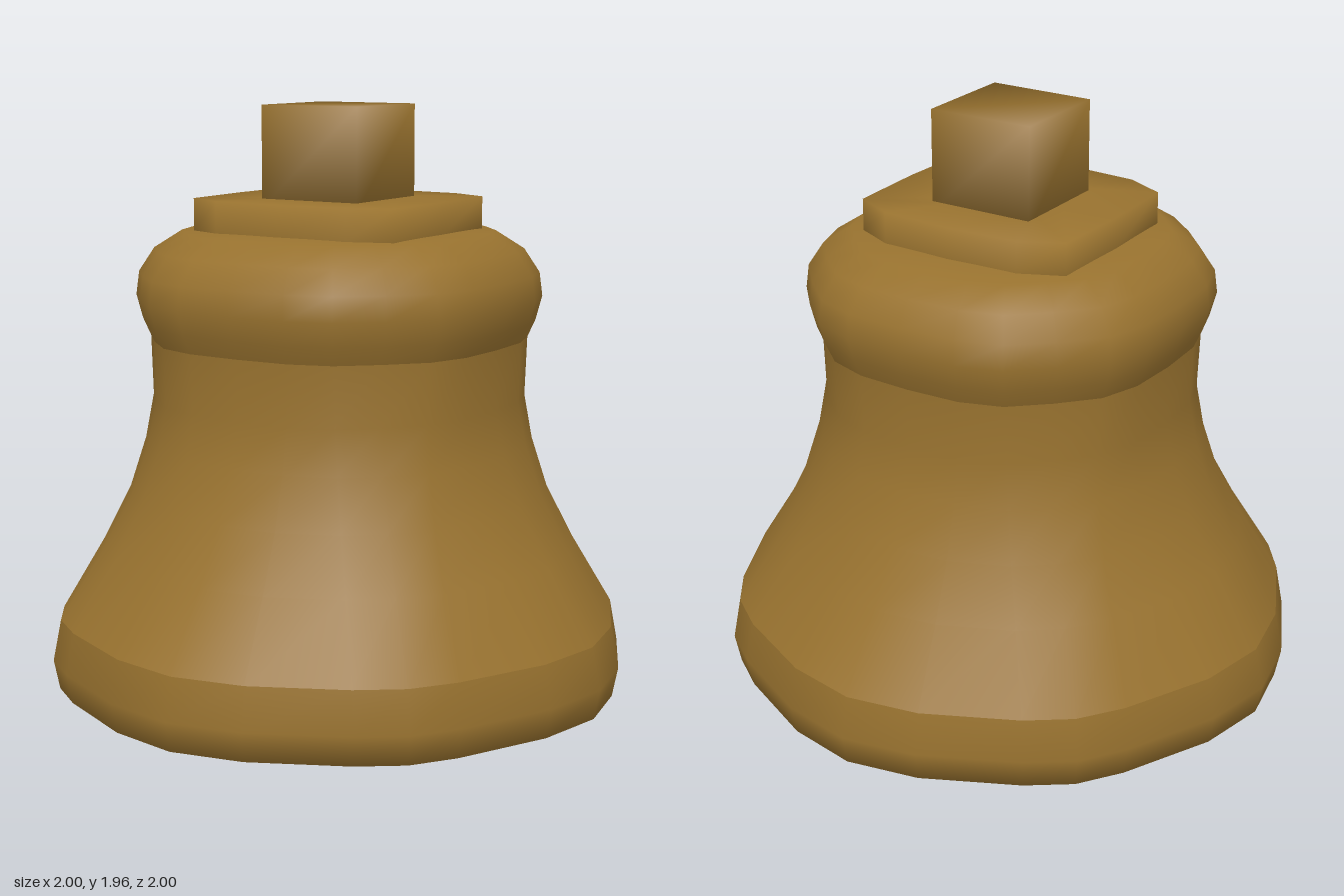
import * as THREE from 'three';
import { mergeVertices } from 'three/addons/utils/BufferGeometryUtils.js';

// One quarter of the ring outline, round at the mouth and squarer at the shoulder
const ROUND = [[1, 0], [0.95, 0.25], [0.8, 0.56], [0.7, 0.7], [0.56, 0.8], [0.25, 0.95]];
const SQUARE = [[1, 0], [0.985, 0.31], [0.91, 0.54], [0.735, 0.735], [0.54, 0.91], [0.31, 0.985]];
const CAP = [[0.4, 0], [0.39, 0.29], [0.25, 0.36]];

// Repeats a quarter outline four times by quarter turns
function fullRing(quarter) {
  const ring = [];
  for (let q = 0; q < 4; q++) {
    for (const [x, z] of quarter) {
      ring.push([[x, z], [-z, x], [-x, -z], [z, -x]][q]);
    }
  }
  return ring;
}

// Bell section at radius r and height y
function bellRing([r, y]) {
  const t = THREE.MathUtils.smoothstep(y, 0.1, 1.25);
  return fullRing(ROUND.map(([x, z], i) => [
    THREE.MathUtils.lerp(x, SQUARE[i][0], t),
    THREE.MathUtils.lerp(z, SQUARE[i][1], t),
  ])).map(([x, z]) => [x * r, y, z * r]);
}

// Skins closed rings with shared vertices, giving smooth normals
function loft(rings) {
  const n = rings[0].length;
  const index = [];
  for (let i = 0; i < rings.length - 1; i++) {
    for (let j = 0; j < n; j++) {
      const a = i * n + j, b = i * n + (j + 1) % n;
      index.push(a, a + n, b, b, a + n, b + n);
    }
  }
  const geo = new THREE.BufferGeometry();
  geo.setAttribute('position', new THREE.Float32BufferAttribute(rings.flat(2), 3));
  geo.setIndex(index);
  const merged = mergeVertices(geo);
  merged.computeVertexNormals();
  return merged;
}

export function createModel() {
  const group = new THREE.Group();
  const bronze = new THREE.MeshStandardMaterial({ color: 0x98722f });
  bronze.name = 'bronze';

  const add = (name, geometry) => {
    const mesh = new THREE.Mesh(geometry, bronze);
    mesh.name = name;
    group.add(mesh);
  };

  // Bell shell as [radius, height] profiles, split where the edges are creased
  const profiles = {
    rim: [[0.87, 0.03], [0.9, 0], [0.98, 0], [1, 0.1], [0.97, 0.24]],
    waist: [[0.97, 0.24], [0.81, 0.48], [0.705, 0.66], [0.64, 0.83], [0.605, 0.98], [0.605, 1.18]],
    shoulder: [[0.605, 1.18], [0.63, 1.24], [0.65, 1.32], [0.64, 1.4], [0.59, 1.48], [0.5, 1.54], [0.3, 1.55], [0, 1.55]],
    interior: [[0, 1.42], [0.4, 1.4], [0.52, 1.28], [0.53, 0.98], [0.61, 0.66], [0.71, 0.45], [0.85, 0.2], [0.87, 0.03]],
  };
  for (const [name, profile] of Object.entries(profiles)) add(name, loft(profile.map(bellRing)));

  // Flat cap with clipped corners
  const quarter = [...CAP, [0, 0.375], [-0.25, 0.36], [-0.39, 0.29]];
  const outline = [...quarter, ...quarter.map(([x, z]) => [-x, -z])];
  const capRing = (s, y) => outline.map(([x, z]) => [x * s, y, z * s]);
  add('cap', loft([capRing(1, 1.54), capRing(1, 1.65), capRing(0.5, 1.65), capRing(0, 1.65)]));

  // Square knob with softened shading
  const box = new THREE.BoxGeometry(0.37, 0.34, 0.37);
  box.deleteAttribute('normal');
  box.deleteAttribute('uv');
  const knob = mergeVertices(box);
  knob.computeVertexNormals();
  knob.translate(0, 1.79, 0);
  add('knob', knob);

  return group;
}
